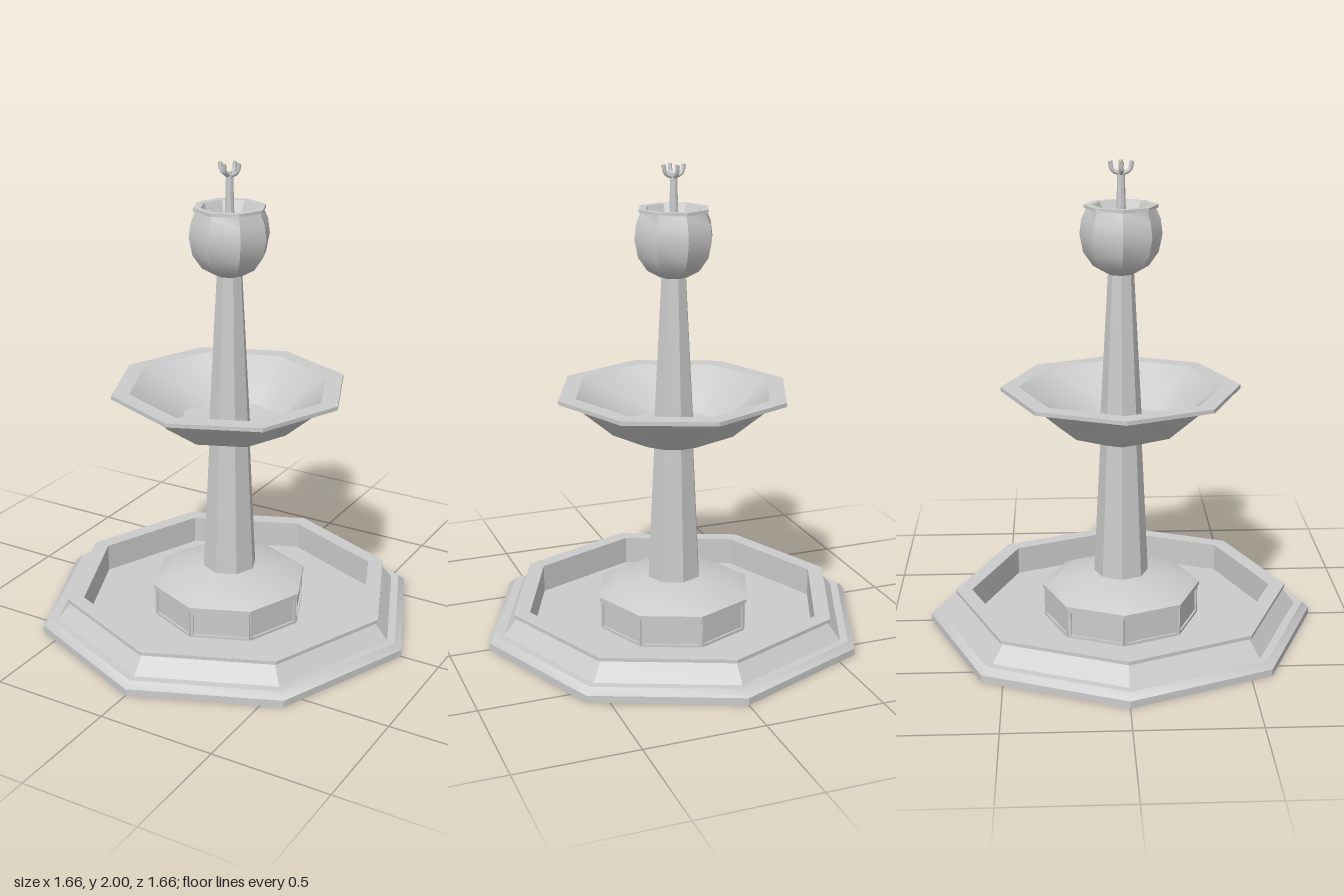
import * as THREE from 'three';
import { toCreasedNormals } from 'three/addons/utils/BufferGeometryUtils.js';

const SIDES = 8;
const material = new THREE.MeshStandardMaterial({ color: 0xcccccc, side: THREE.DoubleSide });

// Eight-sided turned part from [radius, height] pairs, running up the outside and down the inside
function turned(name, profile) {
  const points = profile.map(([r, y]) => new THREE.Vector2(r, y));
  const geometry = toCreasedNormals(new THREE.LatheGeometry(points, SIDES), THREE.MathUtils.degToRad(32));
  const mesh = new THREE.Mesh(geometry, material);
  mesh.name = name;
  return mesh;
}

// Rectangular frame with an open middle, standing on y = 0
function frameGeometry(width, height, border, depth) {
  const w = width / 2, b = border;
  const shape = new THREE.Shape([[-w, 0], [w, 0], [w, height], [-w, height]].map(p => new THREE.Vector2(...p)));
  shape.holes.push(new THREE.Path(
    [[-w + b, b], [-w + b, height - b], [w - b, height - b], [w - b, b]].map(p => new THREE.Vector2(...p))));
  return new THREE.ExtrudeGeometry(shape, { depth, bevelEnabled: false });
}

export function createModel() {
  const model = new THREE.Group();
  model.name = 'fountain';

  // Lower pool: stepped outer wall, overhanging lip, inner wall and floor, open underneath
  model.add(turned('lowerPool', [
    [0.83, 0], [0.83, 0.03], [0.80, 0.055], [0.765, 0.055], [0.705, 0.128], [0.72, 0.128],
    [0.72, 0.143], [0.65, 0.143], [0.65, 0.02], [0.325, 0.02],
  ]));

  // Hollow plinth with a chamfered cap
  model.add(turned('plinth', [
    [0.328, 0.02], [0.328, 0.147], [0.342, 0.147], [0.342, 0.163], [0.27, 0.197], [0.115, 0.227],
  ]));

  // Raised frames around the plinth panels
  const frames = new THREE.Group();
  frames.name = 'plinthFrames';
  const apothem = 0.328 * Math.cos(Math.PI / SIDES);
  const frame = frameGeometry(0.25, 0.127, 0.012, 0.008);
  for (let i = 0; i < SIDES; i++) {
    const mesh = new THREE.Mesh(frame, material);
    const a = (i + 0.5) * 2 * Math.PI / SIDES;
    mesh.name = 'plinthFrame';
    mesh.position.set(Math.sin(a) * apothem, 0.02, Math.cos(a) * apothem);
    mesh.rotation.y = a;
    frames.add(mesh);
  }
  model.add(frames);

  // Columns
  model.add(turned('lowerColumn', [[0.117, 0.225], [0.088, 0.82]]));
  model.add(turned('upperColumn', [[0.09, 0.88], [0.054, 1.545]]));

  // Wide bowl with a flat rim
  model.add(turned('bowl', [
    [0.085, 0.815], [0.27, 0.885], [0.455, 1.043], [0.505, 1.043], [0.505, 1.06],
    [0.43, 1.06], [0.22, 0.9], [0.07, 0.885],
  ]));

  // Round urn with a small rim and a shallow basin
  model.add(turned('urn', [
    [0.04, 1.54], [0.06, 1.542], [0.115, 1.573], [0.155, 1.63], [0.17, 1.705], [0.162, 1.765],
    [0.142, 1.812], [0.152, 1.812], [0.152, 1.825], [0.12, 1.825], [0.09, 1.76], [0.012, 1.755],
  ]));

  // Water pipe
  model.add(turned('waterPipe', [[0.021, 1.75], [0.015, 1.965], [0.001, 1.965]]));

  // Four upturned nozzles
  const curve = new THREE.CatmullRomCurve3([
    [0, 1.952], [0.022, 1.956], [0.038, 1.97], [0.044, 2.0],
  ].map(([x, y]) => new THREE.Vector3(x, y, 0)));
  const nozzle = new THREE.TubeGeometry(curve, 6, 0.009, 8);
  for (let i = 0; i < 4; i++) {
    const mesh = new THREE.Mesh(nozzle, material);
    mesh.name = 'nozzle';
    mesh.rotation.y = i * Math.PI / 2;
    model.add(mesh);
  }

  return model;
}
